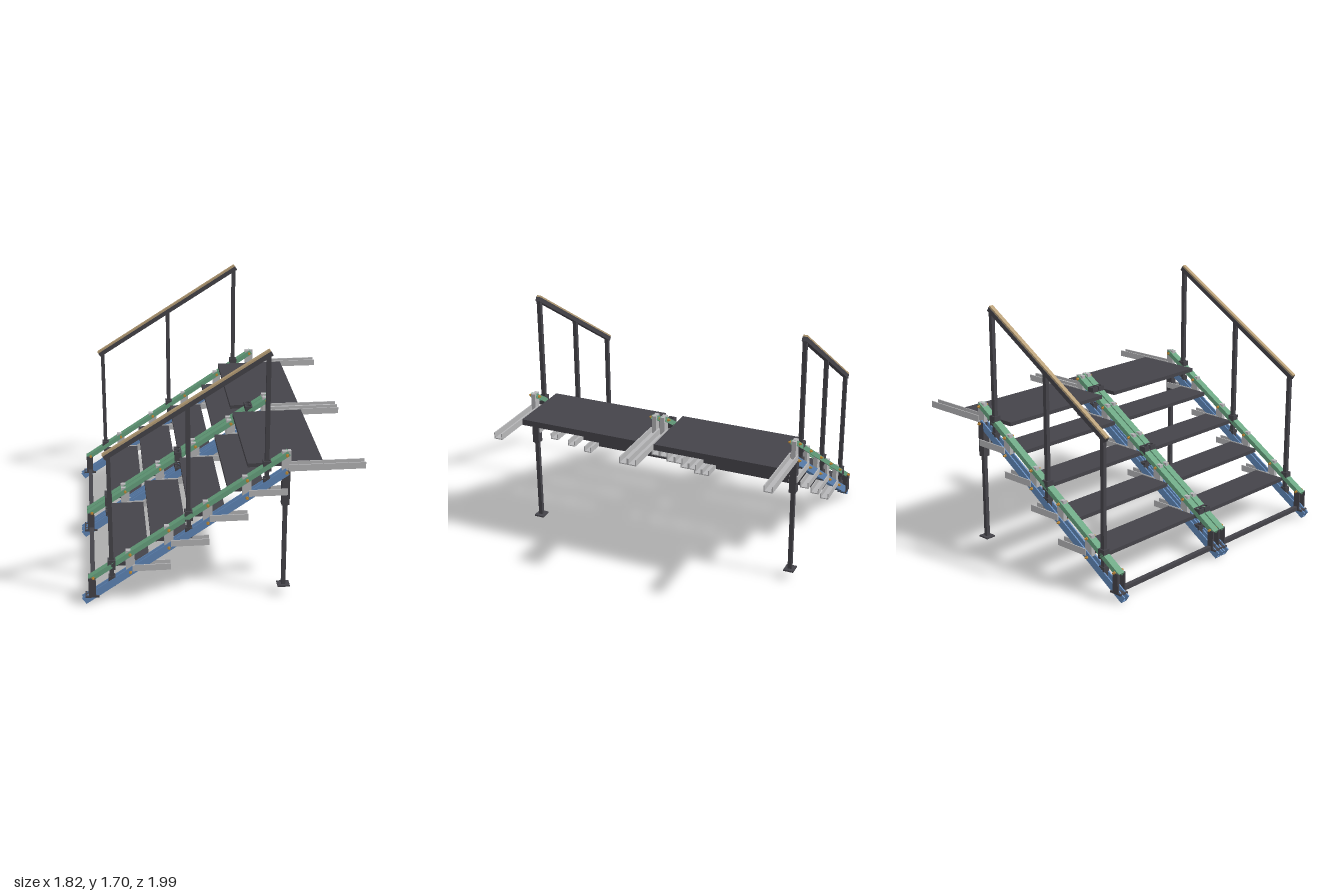
import * as THREE from 'three';

const mat = (name, color) => Object.assign(new THREE.MeshStandardMaterial({ color }), { name });

export function createModel() {
  const root = new THREE.Group();
  root.name = 'modularStairs';
  const dark = mat('charcoal', 0x45444a);
  const blue = mat('blue', 0x6088ba);
  const green = mat('green', 0x68a480);
  const grey = mat('grey', 0xb6b6b8);
  const tan = mat('tan', 0xb9a078);
  const orange = mat('orange', 0xc08a35);

  const add = (parent, name, geo, material, x = 0, y = 0, z = 0, tilt = 0) => {
    const m = new THREE.Mesh(geo, material);
    m.name = name;
    m.position.set(x, y, z);
    m.rotation.z = tilt;
    parent.add(m);
    return m;
  };
  const box = (parent, name, material, w, h, d, x, y, z, tilt) =>
    add(parent, name, new THREE.BoxGeometry(w, h, d), material, x, y, z, tilt);

  // U-section running along x, open at the top
  const channelGeo = (length, w, h, t) => {
    const a = w / 2, b = h / 2;
    const s = new THREE.Shape([
      [-a, -b], [a, -b], [a, b], [a - t, b], [a - t, -b + t], [-a + t, -b + t], [-a + t, b], [-a, b],
    ].map(p => new THREE.Vector2(...p)));
    return new THREE.ExtrudeGeometry(s, { depth: length, bevelEnabled: false })
      .translate(0, 0, -length / 2).rotateY(Math.PI / 2);
  };
  // Square sleeve with an open bore, standing along y
  const sleeveGeo = (w, h, bore) => {
    const a = w / 2;
    const s = new THREE.Shape([[-a, -a], [a, -a], [a, a], [-a, a]].map(p => new THREE.Vector2(...p)));
    s.holes.push(new THREE.Path().absarc(0, 0, bore, 0, Math.PI * 2, true));
    return new THREE.ExtrudeGeometry(s, { depth: h, bevelEnabled: false, curveSegments: 8 })
      .translate(0, 0, -h / 2).rotateX(-Math.PI / 2);
  };
  // Places a geometry builder between two points in the xy plane
  const between = (x0, y0, x1, y1) => ({
    length: Math.hypot(x1 - x0, y1 - y0), tilt: Math.atan2(y1 - y0, x1 - x0),
    x: (x0 + x1) / 2, y: (y0 + y1) / 2,
  });

  const steps = [0, 1, 2, 3, 4];
  const boltX = i => -0.59 + 0.249 * i;
  const stepY = i => 0.25 + 0.1655 * i;
  const blueY = x => 0.021 + (x + 0.893) * 0.662;
  const greenY = x => 0.175 + (x + 0.855) * 0.655;
  const postXs = [-0.71, -0.213, 0.283];

  // Cross bolt with a head and a nut
  const bolt = (parent, x, y, z) => {
    const rod = new THREE.CylinderGeometry(0.006, 0.006, 0.09, 8).rotateX(Math.PI / 2);
    add(parent, 'bolt', rod, orange, x, y, z);
    for (const s of [-1, 1]) {
      const nut = new THREE.CylinderGeometry(0.011, 0.011, 0.008, 6).rotateX(Math.PI / 2);
      add(parent, 'boltHead', nut, orange, x, y, z + s * 0.032);
    }
  };

  // One inclined carrier: two rails, step brackets, sockets and base foot
  const carrier = z => {
    const g = new THREE.Group();
    g.name = 'carrier';
    root.add(g);

    const lo = between(-0.893, 0.021, 0.413, blueY(0.413));
    add(g, 'lowerRail', channelGeo(lo.length, 0.046, 0.05, 0.009), blue, lo.x, lo.y, z, lo.tilt);
    const up = between(-0.855, 0.175, 0.42, greenY(0.42));
    add(g, 'upperRail', channelGeo(up.length, 0.05, 0.032, 0.008).rotateX(Math.PI), green, up.x, up.y, z, up.tilt);

    for (const i of steps) {
      const x = boltX(i), y = stepY(i);
      const top = greenY(x) + 0.022, bottom = y - 0.02;
      box(g, 'bracketUpright', grey, 0.058, top - bottom, 0.03, x, (top + bottom) / 2, z);
      const end = i === 4 ? 0.91 : -0.33 + 0.249 * i;
      const start = x + 0.012;
      add(g, 'bracketArm', channelGeo(end - start, 0.06, 0.044, 0.007), grey, (start + end) / 2, y, z);
      bolt(g, x, greenY(x), z);
      bolt(g, x, blueY(x), z);
    }

    // Base foot
    for (const s of [-1, 1]) box(g, 'baseCheek', dark, 0.045, 0.135, 0.01, -0.84, 0.122, z + s * 0.03);
    box(g, 'baseBack', dark, 0.01, 0.135, 0.06, -0.82, 0.122, z);
    box(g, 'basePlate', dark, 0.09, 0.012, 0.066, -0.84, 0.056, z);
    bolt(g, -0.83, greenY(-0.83), z);

    // Railing sockets on both rails
    for (const x of postXs) {
      add(g, 'upperSocket', sleeveGeo(0.05, 0.066, 0.018), dark, x, greenY(x) + 0.005, z);
      add(g, 'lowerSocket', sleeveGeo(0.044, 0.07, 0.018), dark, x, greenY(x) - 0.113, z);
    }
  };
  [-0.948, -0.03, 0.03, 0.948].forEach(carrier);

  // Treads, mirrored on either side of the middle carriers
  for (const side of [-1, 1]) {
    for (const i of steps) {
      const x0 = i === 4 ? 0.165 : -0.7 + 0.247 * i;
      const w = i === 4 ? 0.48 : 0.235;
      const g = new THREE.Group();
      g.name = 'tread';
      root.add(g);
      const z = side * 0.49, y = stepY(i);
      box(g, 'treadDeck', dark, w, 0.026, 0.855, x0 + w / 2, y + 0.003, z);
      const ribs = i === 4 ? 4 : 2;
      for (let k = 0; k < ribs; k++) {
        const rx = x0 + 0.115 + (w - 0.12) * k / (ribs - 1);
        box(g, 'treadRib', dark, 0.01, 0.016, 0.855, rx, y - 0.017, z);
      }
    }

    // Handrail with three posts
    const rail = new THREE.Group();
    rail.name = 'handrail';
    root.add(rail);
    const z = side * 0.948;
    const railY = x => 1.022 + (x + 0.735) * 0.63;
    const r = between(-0.735, railY(-0.735), 0.3, railY(0.3));
    for (const x of postXs) {
      const bottom = greenY(x) - 0.14, top = railY(x);
      box(rail, 'railPost', dark, 0.027, top - bottom, 0.027, x, (top + bottom) / 2, z);
    }
    box(rail, 'railBeam', dark, r.length, 0.03, 0.034, r.x, r.y, z, r.tilt);
    const off = 0.02;
    box(rail, 'railGrip', tan, r.length, 0.014, 0.028,
      r.x - Math.sin(r.tilt) * off, r.y + Math.cos(r.tilt) * off, z, r.tilt);

    // Rear support leg
    const leg = new THREE.Group();
    leg.name = 'supportLeg';
    root.add(leg);
    box(leg, 'legSleeve', dark, 0.05, 0.24, 0.046, 0.405, 0.77, z);
    box(leg, 'legTube', dark, 0.027, 0.6, 0.027, 0.405, 0.365, z);
    box(leg, 'legFoot', dark, 0.08, 0.01, 0.07, 0.405, 0.067, z);
  }

  // Bar joining the base feet
  box(root, 'baseCrossbar', dark, 0.03, 0.028, 1.86, -0.835, 0.067, 0);

  return root;
}
